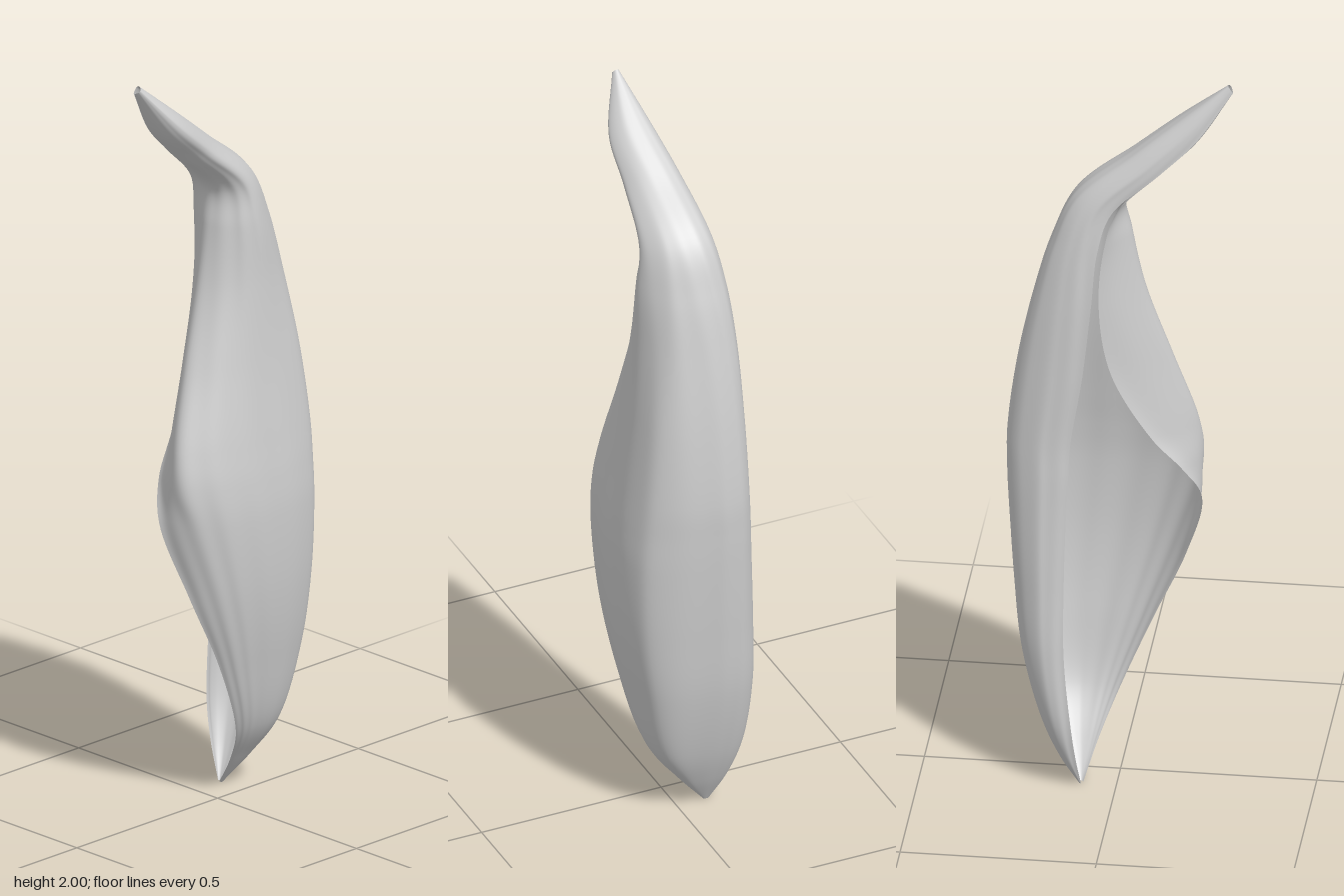
import * as THREE from 'three';

// Stations from base to tip:
// [back y, left x, right x, back z, left rim z, front z, right rim x, right rim z, lean of section]
const STATIONS = [
  [0.0, -0.09, -0.075, -0.095, -0.09, -0.087, -0.08, -0.085, 0],
  [0.09, -0.13, 0.0, -0.145, -0.1, -0.065, -0.01, -0.055, 0],
  [0.2, -0.16, 0.078, -0.19, -0.11, -0.03, 0.055, -0.01, 0],
  [0.4, -0.172, 0.13, -0.24, -0.125, 0.045, 0.08, 0.075, 0],
  [0.6, -0.167, 0.16, -0.262, -0.125, 0.12, 0.06, 0.16, 0],
  [0.8, -0.16, 0.167, -0.276, -0.12, 0.185, 0.0, 0.208, 0],
  [0.9, -0.157, 0.16, -0.28, -0.115, 0.205, -0.045, 0.165, 0],
  [1.0, -0.153, 0.147, -0.28, -0.11, 0.194, -0.075, 0.09, 0],
  [1.2, -0.15, 0.12, -0.256, -0.08, 0.13, -0.11, -0.01, 0],
  [1.4, -0.144, 0.1, -0.215, -0.06, 0.065, -0.125, -0.04, 0],
  [1.56, -0.13, 0.09, -0.17, -0.045, 0.032, -0.115, -0.03, 0],
  [1.69, -0.112, 0.075, -0.11, -0.01, 0.018, -0.095, 0.0, -0.28],
  [1.81, -0.085, 0.064, 0.035, 0.11, 0.12, -0.07, 0.112, -0.55],
  [1.905, -0.055, 0.06, 0.155, 0.2, 0.205, -0.045, 0.202, -1.1],
  [2.0, -0.012, 0.006, 0.275, 0.287, 0.285, -0.008, 0.288, -1.5],
];

const { lerp: mix, smoothstep } = THREE.MathUtils;

// Control points running left rim -> back -> right side -> front -> right rim
function section([y, xl, xr, zb, zl, zf, xe, ze, lean]) {
  const slim = smoothstep(y, 1.1, 1.7); // the back narrows to a ridge toward the neck
  return [
    [mix(xl, xr, 0.04), zl],
    [xl, mix(zb, zl, 0.55)],
    [mix(xl, xr, 0.12), mix(zb, zl, 0.1)],
    [mix(xl, xr, 0.38), zb],
    [mix(xl, xr, 0.9 - 0.14 * slim), mix(zb, zf, 0.14)],
    [xr, mix(zb, zf, 0.48 + 0.08 * slim)],
    [mix(xe, xr, 0.88), mix(zb, zf, 0.82)],
    [mix(xe, xr, 0.55), zf],
    [xe, ze],
  ].map(([x, z]) => new THREE.Vector3(x, y + lean * (z - zb), z));
}

function petalGeometry(rows, cols) {
  const sections = STATIONS.map(section);
  // One lengthwise curve through each control column
  const ribs = sections[0].map((_, c) => new THREE.CatmullRomCurve3(sections.map((s) => s[c])));
  const positions = [];
  const indices = [];
  for (let r = 0; r <= rows; r++) {
    const v = r / rows;
    const across = new THREE.CatmullRomCurve3(ribs.map((rib) => rib.getPoint(v)));
    for (let c = 0; c <= cols; c++) {
      const u = c / cols;
      const p = across.getPoint(u);
      // Faint lengthwise veins
      const vein = 0.0015 * Math.sin(u * 70 + 5 * Math.sin(v * 4)) * Math.sin(Math.PI * v);
      positions.push(p.x * (1 + vein * 6), p.y, p.z + vein);
    }
  }
  for (let r = 0; r < rows; r++) {
    for (let c = 0; c < cols; c++) {
      const a = r * (cols + 1) + c;
      const b = a + cols + 1;
      indices.push(a, b, a + 1, b, b + 1, a + 1);
    }
  }
  const geometry = new THREE.BufferGeometry();
  geometry.setAttribute('position', new THREE.Float32BufferAttribute(positions, 3));
  geometry.setIndex(indices);
  geometry.computeVertexNormals();
  return geometry;
}

export function createModel() {
  const group = new THREE.Group();
  group.name = 'curledPetal';
  const paleGrey = new THREE.MeshStandardMaterial({ color: 0xcccccc, side: THREE.DoubleSide });
  paleGrey.name = 'paleGrey';

  // Curled blade, wrapped closed at the neck, with a bent-over tip
  const blade = new THREE.Mesh(petalGeometry(140, 100), paleGrey);
  blade.name = 'petalBlade';
  group.add(blade);
  return group;
}
